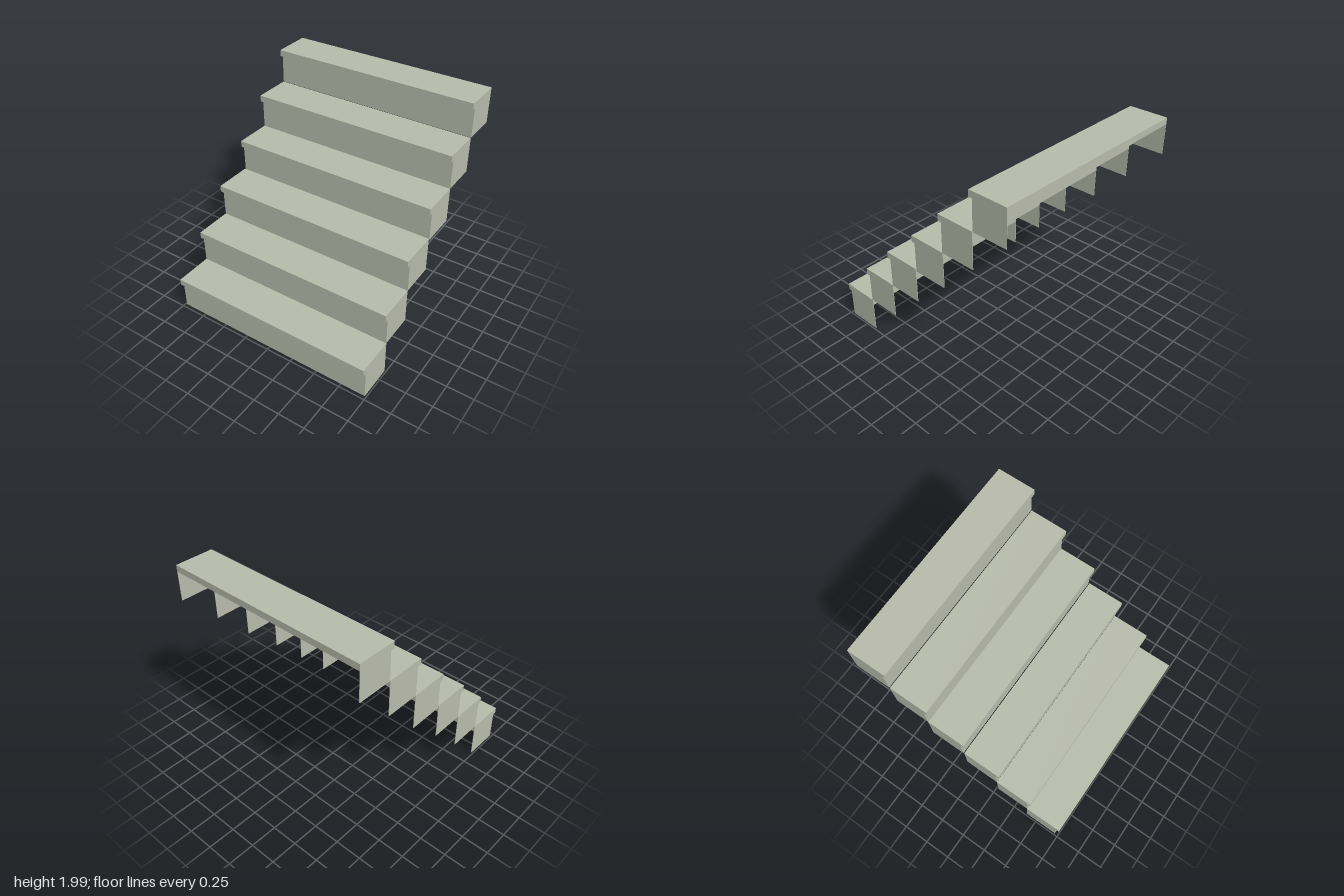
import * as THREE from 'three';

const WIDTH = 1.97;     // full stair width
const HEIGHT = 0.335;   // height of one step
const DEPTH = 0.36;     // tread depth including the nosing
const TREAD = 0.06;     // tread thickness
const NOSING = 0.034;   // overhang of the tread past the riser
const RISER = 0.033;    // riser thickness
const SIDE = 0.004;     // thin side panels

// Bottom height and front edge of each step, from lowest to highest
const STEPS = [
  [0, 1], [0.337, 0.677], [0.671, 0.35],
  [0.987, 0.014], [1.322, -0.309], [1.657, -0.64],
];

export function createModel() {
  const material = new THREE.MeshStandardMaterial({ color: 0xb8bcab });
  const stairs = new THREE.Group();
  stairs.name = 'stairs';

  const addBox = (parent, name, size, position) => {
    const mesh = new THREE.Mesh(new THREE.BoxGeometry(...size), material);
    mesh.name = name;
    mesh.position.set(...position);
    parent.add(mesh);
  };

  STEPS.forEach(([bottom, front], i) => {
    const step = new THREE.Group();
    step.name = `step${i + 1}`;
    step.position.set(0, bottom, front);
    const wall = HEIGHT - TREAD;
    const panelDepth = DEPTH - NOSING - RISER;

    // Tread slab with overhanging nosing
    addBox(step, 'tread', [WIDTH, TREAD, DEPTH], [0, HEIGHT - TREAD / 2, -DEPTH / 2]);

    // Riser set back under the nosing
    addBox(step, 'riser', [WIDTH, wall, RISER], [0, wall / 2, -NOSING - RISER / 2]);

    // Side panels; the step stays open behind and below
    for (const [name, s] of [['leftPanel', 1], ['rightPanel', -1]]) {
      addBox(step, name, [SIDE, wall, panelDepth],
        [s * (WIDTH - SIDE) / 2, wall / 2, -DEPTH + panelDepth / 2]);
    }
    stairs.add(step);
  });

  return stairs;
}
